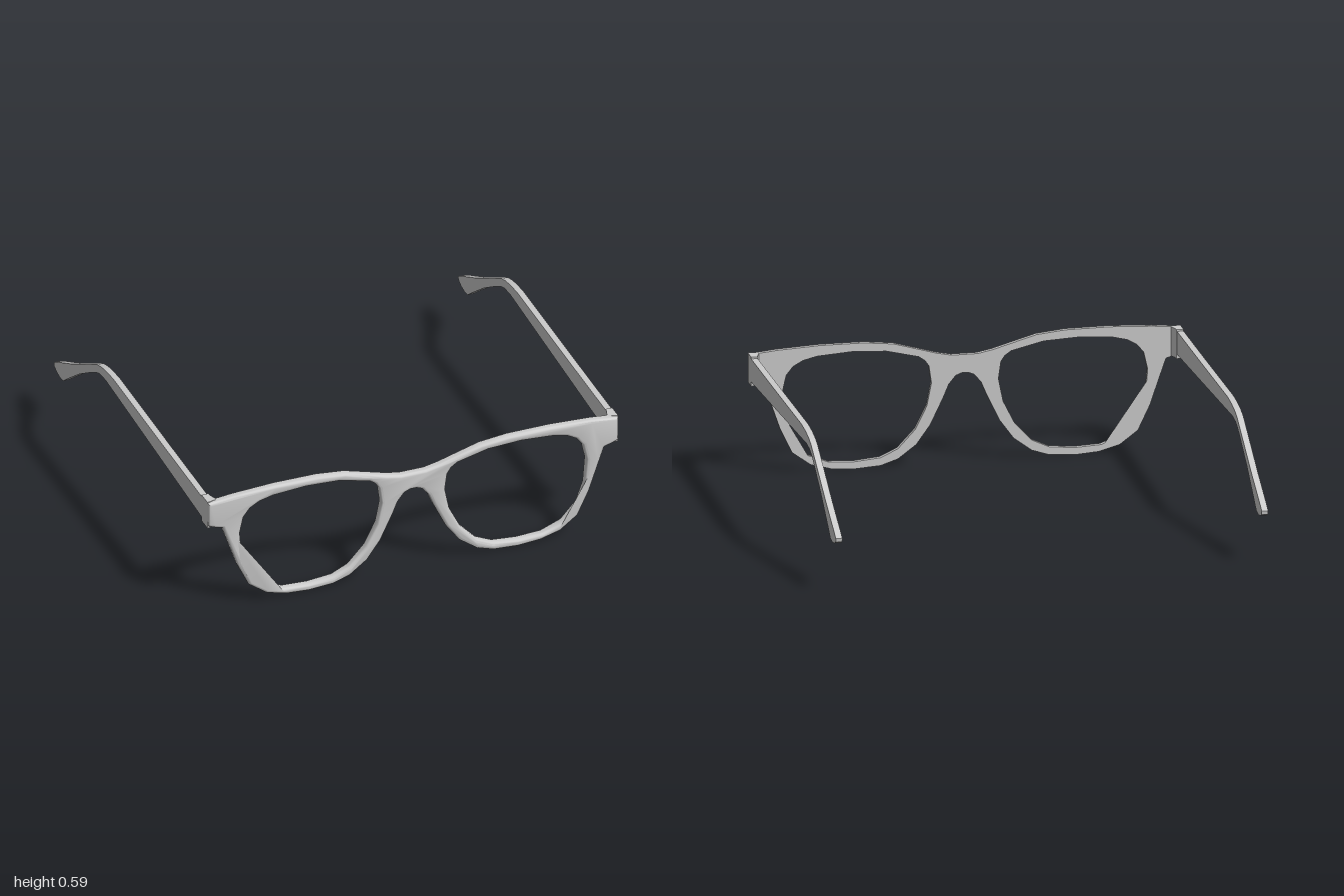
import * as THREE from 'three';
import { toCreasedNormals } from 'three/addons/utils/BufferGeometryUtils.js';

const pts = (list) => list.map(([x, y]) => new THREE.Vector2(x, y));
const mirrored = (list) => list.map(([x, y]) => [-x, y]).reverse();

// Half outline of the front, from the top of the bridge round to its underside
const TOP = [[0.06, 0.508], [0.13, 0.522], [0.21, 0.545], [0.33, 0.579], [0.465, 0.593], [0.67, 0.594], [0.87, 0.584], [1, 0.571]];
const LOWER = [[0.998, 0.452], [0.97, 0.44], [0.93, 0.429], [0.91, 0.372], [0.855, 0.212], [0.8, 0.097],
  [0.715, 0.034], [0.62, 0.008], [0.51, 0], [0.39, 0.008], [0.31, 0.034], [0.225, 0.097], [0.16, 0.187],
  [0.1, 0.312], [0.075, 0.372], [0.043, 0.411], [0.015, 0.422]];
const LENS = [[0.525, 0.555], [0.685, 0.544], [0.75, 0.528], [0.795, 0.503], [0.827, 0.463], [0.845, 0.383], [0.835, 0.255],
  [0.8, 0.158], [0.727, 0.078], [0.63, 0.04], [0.51, 0.034], [0.39, 0.045], [0.31, 0.082], [0.23, 0.168],
  [0.176, 0.276], [0.155, 0.383], [0.166, 0.463], [0.185, 0.491], [0.214, 0.511], [0.364, 0.547]];

// Side profile of a temple as (z, y)
const TEMPLE = [[0.9, 0.567], [0.43, 0.571], [-0.21, 0.579], [-0.295, 0.572], [-0.36, 0.56], [-0.41, 0.544], [-0.5, 0.494],
  [-0.72, 0.369], [-0.9, 0.276], [-0.935, 0.255], [-0.933, 0.238], [-0.9, 0.223], [-0.86, 0.217], [-0.82, 0.222],
  [-0.76, 0.269], [-0.62, 0.374], [-0.47, 0.469], [-0.42, 0.497], [-0.38, 0.512], [-0.31, 0.519], [-0.22, 0.514], [0.9, 0.456]];

function frontGeometry() {
  // Counter-clockwise outline, so that the holes are wound to match
  const half = [...TOP, ...LOWER];
  const shape = new THREE.Shape(pts([...half, ...mirrored(half)]).reverse());
  shape.holes.push(new THREE.Path(pts(LENS)), new THREE.Path(pts(mirrored(LENS))));
  const bevel = 0.014;
  const geo = new THREE.ExtrudeGeometry(shape, {
    depth: 0.021, bevelEnabled: true, bevelThickness: bevel, bevelSize: bevel, bevelOffset: -bevel, bevelSegments: 3,
  });
  // Rounded at the front, flattened at the back
  const p = geo.attributes.position;
  for (let i = 0; i < p.count; i++) p.setZ(i, Math.max(0, p.getZ(i)));
  geo.translate(0, 0, 0.9);
  return toCreasedNormals(geo, 0.7);
}

function templeGeometry() {
  const geo = new THREE.ExtrudeGeometry(new THREE.Shape(pts(TEMPLE)), { depth: 0.03, bevelEnabled: false });
  geo.rotateY(-Math.PI / 2);
  geo.translate(0.015, 0, 0);
  return toCreasedNormals(geo, 0.6);
}

// Tapered corner block; plan given as (x, -z) about the temple's centre line
function hingeGeometry(side) {
  const plan = [[0.015, -0.92], [0.015, -0.85], [-0.017, -0.85], [-0.02, -0.87], [-0.032, -0.902], [-0.032, -0.91]];
  const shape = new THREE.Shape(pts(plan.map(([x, y]) => [x * side, y])));
  const geo = new THREE.ExtrudeGeometry(shape, { depth: 0.138, bevelEnabled: false });
  geo.rotateX(-Math.PI / 2);
  geo.translate(0, 0.438, 0);
  return toCreasedNormals(geo, 0.4);
}

export function createModel() {
  const model = new THREE.Group();
  model.name = 'eyeglasses';
  const material = new THREE.MeshStandardMaterial({ color: 0xcccccc });
  const add = (name, geometry, x = 0) => {
    const mesh = new THREE.Mesh(geometry, material);
    mesh.name = name;
    mesh.position.x = x;
    model.add(mesh);
  };

  add('frontFrame', frontGeometry());
  const temple = templeGeometry();
  for (const [name, side] of [['left', 1], ['right', -1]]) {
    add(name + 'Temple', temple, side * 0.985);
    add(name + 'Hinge', hingeGeometry(side), side * 0.985);
  }
  return model;
}
